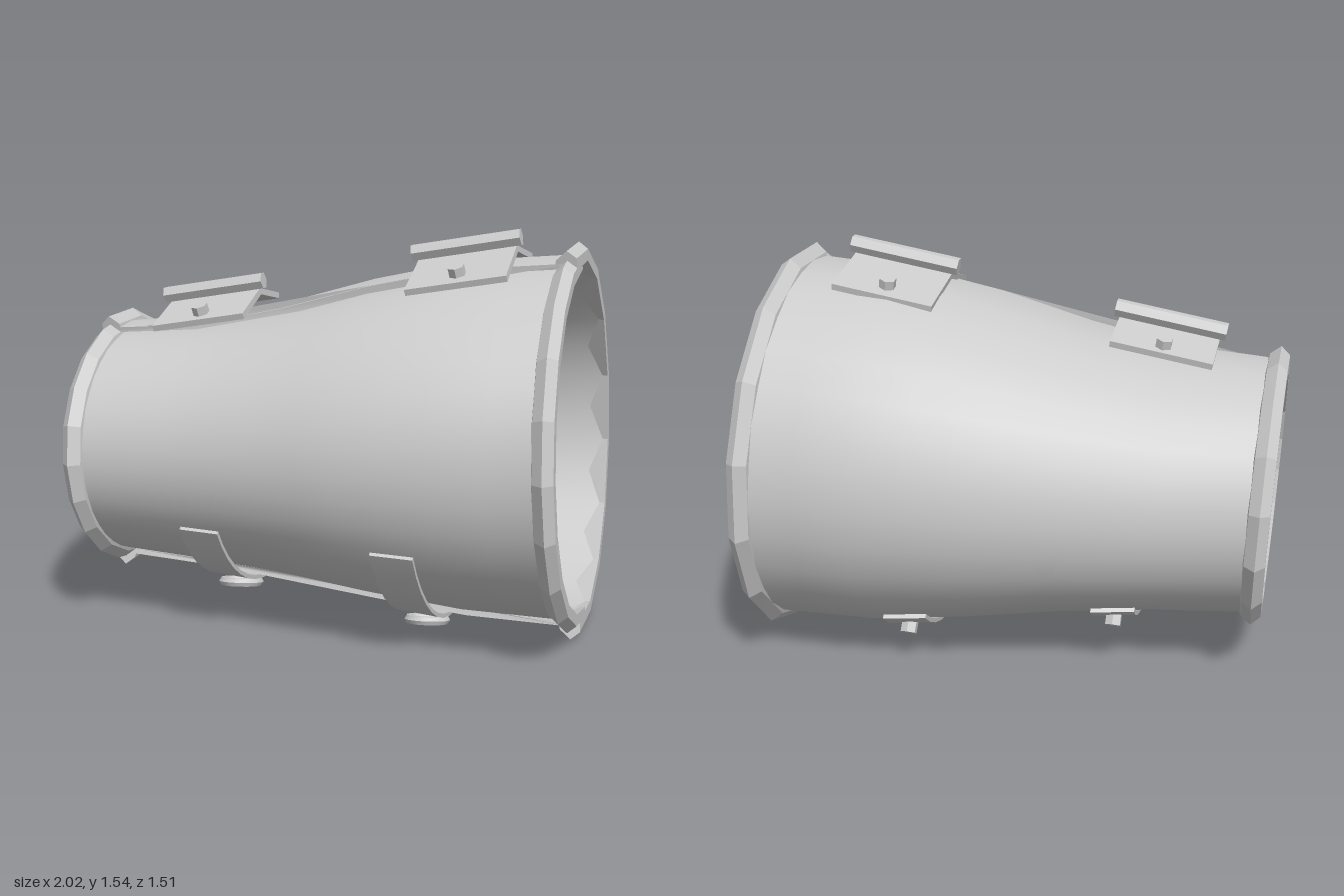
import * as THREE from 'three';
import { toCreasedNormals } from 'three/addons/utils/BufferGeometryUtils.js';

// Tube stations along the axis: x, centre y, centre z, radius y, radius z
const STATIONS = [
  [-0.97, -0.003, 0.02, 0.474, 0.514],
  [-0.55, -0.014, 0.014, 0.502, 0.561],
  [-0.2, -0.004, 0.002, 0.554, 0.628],
  [0.15, 0.009, -0.011, 0.627, 0.697],
  [0.5, 0.014, -0.026, 0.684, 0.727],
  [0.95, 0.011, -0.029, 0.707, 0.709],
];

function station(x) {
  let i = 0;
  while (i < STATIONS.length - 2 && x > STATIONS[i + 1][0]) i++;
  const a = STATIONS[i], b = STATIONS[i + 1];
  const t = (x - a[0]) / (b[0] - a[0]);
  return a.map((v, k) => v + (b[k] - v) * t);
}

// Point on the tube; angle 0 is the top, positive runs to the front
function tubePoint(x, offset, angle, inset = 0) {
  const [, cy, cz, ry, rz] = station(x);
  return new THREE.Vector3(
    x,
    cy + Math.cos(angle) * (ry + offset - inset),
    cz + Math.sin(angle) * (rz + offset),
  );
}

// Sweeps a closed counter-clockwise (x, offset) profile round the tube
function sweep(profile, a0, a1, segments, inset, crease) {
  const n = profile.length, pos = [], index = [];
  for (let i = 0; i <= segments; i++) {
    const a = a0 + (a1 - a0) * i / segments;
    for (const [x, d] of profile) pos.push(...tubePoint(x, d, a, inset).toArray());
  }
  for (let i = 0; i < segments; i++) {
    for (let j = 0; j < n; j++) {
      const k = (j + 1) % n;
      const A = i * n + j, B = i * n + k, C = B + n, D = A + n;
      index.push(A, B, C, A, C, D);
    }
  }
  const caps = THREE.ShapeUtils.triangulateShape(profile.map((p) => new THREE.Vector2(...p)), []);
  for (const [p, q, r] of caps) {
    index.push(r, q, p, segments * n + p, segments * n + q, segments * n + r);
  }
  const g = new THREE.BufferGeometry();
  g.setAttribute('position', new THREE.Float32BufferAttribute(pos, 3));
  g.setIndex(index);
  return toCreasedNormals(g, crease);
}

export function createModel() {
  const steel = new THREE.MeshStandardMaterial({ color: 0xcccccc });
  steel.name = 'light steel grey';

  const model = new THREE.Group();
  model.name = 'armGuard';
  const tube = new THREE.Group();
  tube.name = 'guardTube';
  tube.position.set(0, 0.7, -0.06);
  tube.rotation.set(0, -0.095, 0.04, 'YXZ');
  model.add(tube);

  function add(parent, name, geometry) {
    const m = new THREE.Mesh(geometry, steel);
    m.name = name;
    parent.add(m);
    return m;
  }

  const boltGeometry = (h) => toCreasedNormals(new THREE.CylinderGeometry(0.032, 0.032, h, 6), 0.2);

  // Shell wall and rolled rim profiles
  const xs = [-0.93, -0.55, -0.35, -0.2, 0.0, 0.15, 0.32, 0.5, 0.7, 0.92];
  const wall = [...xs.map((x) => [x, -0.02]), ...xs.slice().reverse().map((x) => [x, 0])];
  const lip = [[-0.045, -0.005], [0.035, -0.026], [0.035, 0.018], [0, 0.048], [-0.04, 0.015]];
  const wideRim = lip.map(([x, d]) => [0.905 + x, d]);
  const narrowRim = lip.map(([x, d]) => [-0.92 - x, d]).reverse();

  // The back half overlaps the slightly smaller front half at top and bottom
  const halves = [
    ['front', 0.03, Math.PI - 0.03, 0.03, 10],
    ['back', -Math.PI - 0.23, 0.23, 0, 9],
  ];
  for (const [side, a0, a1, inset, segments] of halves) {
    add(tube, side + 'Shell', sweep(wall, a0, a1, segments * 2, inset, 0.6));
    add(tube, side + 'WideRim', sweep(wideRim, a0, a1, segments, inset, 0.15));
    add(tube, side + 'NarrowRim', sweep(narrowRim, a0, a1, segments, inset, 0.15));
  }

  // Straps under the guard, each with a ring and a bolt
  for (const x of [-0.415, 0.35]) {
    const w = 0.08;
    const band = [[x - w, 0.004], [x + w, 0.004], [x + w, 0.02], [x - w, 0.02]];
    add(tube, 'strap', sweep(band, Math.PI - 1.12, Math.PI + 0.74, 14, 0, 0.5));

    const place = (mesh, angle, lift) => {
      mesh.position.copy(tubePoint(x, lift, angle));
      const out = new THREE.Vector3(0, Math.cos(angle), Math.sin(angle));
      mesh.quaternion.setFromUnitVectors(new THREE.Vector3(0, 1, 0), out);
    };
    const ring = new THREE.TorusGeometry(0.072, 0.018, 6, 14);
    ring.rotateX(Math.PI / 2);
    place(add(tube, 'strapRing', toCreasedNormals(ring, 0.5)), Math.PI - 0.22, 0.044);
    place(add(tube, 'strapBolt', boltGeometry(0.055)), Math.PI + 0.59, 0.03);
  }

  // Hinges on top: position of the pin, front and back leaf lengths
  const hinges = [
    [-0.535, 1.285, -0.085, 0.235, 0.2],
    [0.475, 1.48, 0.005, 0.285, 0.28],
  ];
  for (const [x, y, z, front, back] of hinges) {
    const hinge = new THREE.Group();
    hinge.name = 'hinge';
    hinge.position.set(x, y, z);
    hinge.rotation.set(0, -0.095, 0.17, 'YXZ');
    model.add(hinge);

    const pin = new THREE.CylinderGeometry(0.034, 0.034, 0.42, 6);
    pin.rotateZ(Math.PI / 2);
    add(hinge, 'hingePin', toCreasedNormals(pin, 0.2));

    for (const [name, dir, length, tilt] of [['front', 1, front, 0.3], ['back', -1, back, -0.2]]) {
      const leaf = new THREE.Group();
      leaf.name = name + 'Leaf';
      leaf.position.y = -0.04;
      leaf.rotation.x = tilt;
      hinge.add(leaf);
      const plate = add(leaf, 'leafPlate', new THREE.BoxGeometry(0.38, 0.024, length));
      plate.position.z = dir * length / 2;
      const bolt = add(leaf, 'leafBolt', boltGeometry(0.045));
      bolt.position.set(0, 0.024, dir * length * 0.75);
    }
  }
  return model;
}
